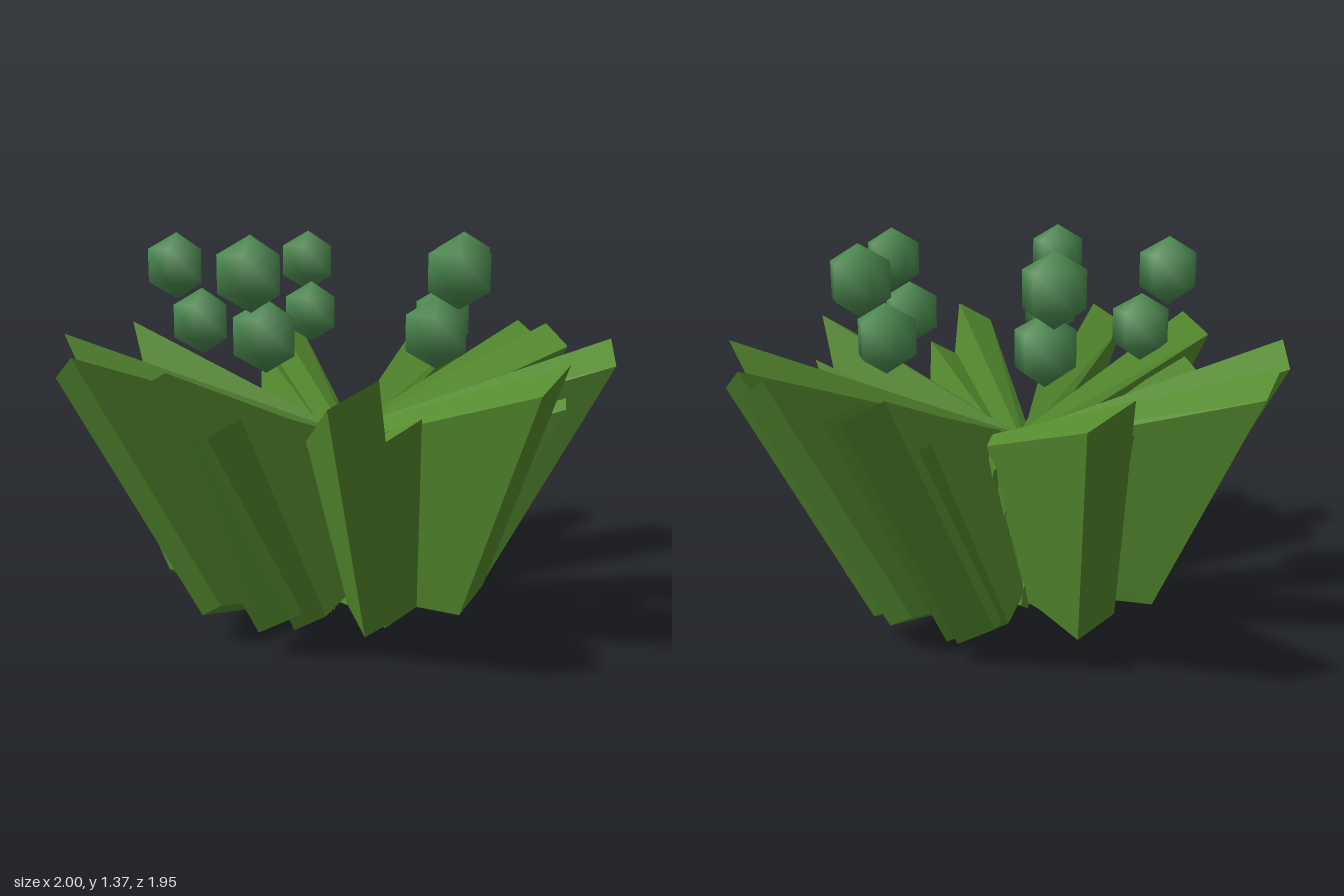
import * as THREE from 'three';
import { ConvexGeometry } from 'three/addons/geometries/ConvexGeometry.js';

const leafGreen = new THREE.MeshStandardMaterial({ color: 0x558b2f });
const budGreen = new THREE.MeshStandardMaterial({ color: 0x4c8a50 });

// Point from an angle in degrees (+x towards +z), a radius and a height
function polar(deg, r, y) {
  const a = THREE.MathUtils.degToRad(deg);
  return new THREE.Vector3(Math.cos(a) * r, y, Math.sin(a) * r);
}

// Leaning slab: thick at the rim, thin where it passes beside the axis
function leafGeometry() {
  return new ConvexGeometry([
    polar(-4.1, 0.995, 1), polar(4.1, 1, 0.92), // tip
    polar(-20, 0.605, 0.155), polar(-7.5, 0.58, 0.08), // foot
    new THREE.Vector3(-0.14, 0.6, 0.065), new THREE.Vector3(-0.14, 0.56, 0.11), // inner top
    new THREE.Vector3(-0.14, 0.025, -0.07), new THREE.Vector3(-0.14, 0, -0.03), // inner bottom
  ]);
}

// [tip angle, scale]
const outerLeaves = [
  [-6.3, 1], [3.2, 1], [36, 1], [75.6, 0.99], [114.5, 0.99],
  [150, 0.995], [175.3, 1], [217, 1], [246, 1], [286, 1], [-33.6, 1], [-29.6, 0.99],
];
const innerLeaves = [
  [185.5, 0.85], [140, 0.85], [104, 0.85], [63, 0.85], [40, 0.84],
  [-38, 0.84], [-79, 0.86], [221, 0.85], [-1, 0.82],
  [0, 0.55], [45, 0.55], [95, 0.55], [145, 0.55], [180, 0.55], [225, 0.55], [280, 0.55], [325, 0.55],
];

export function createModel() {
  const model = new THREE.Group();
  model.name = 'succulentPlant';

  const leaf = leafGeometry();
  const addLeaves = (list, name) => list.forEach(([deg, scale]) => {
    const mesh = new THREE.Mesh(leaf, leafGreen);
    mesh.name = name;
    mesh.rotation.y = -THREE.MathUtils.degToRad(deg);
    mesh.scale.setScalar(scale);
    model.add(mesh);
  });
  addLeaves(outerLeaves, 'outerLeaf');
  addLeaves(innerLeaves, 'innerLeaf');

  // Five pairs of low-poly buds, all facing the same way
  const bud = new THREE.SphereGeometry(0.12, 5, 3).rotateY(-Math.PI / 2);
  for (let i = 0; i < 5; i++) {
    const pair = new THREE.Group();
    pair.name = 'budPair';
    for (const [name, r, y] of [['lowerBud', 0.48, 1.05], ['upperBud', 0.57, 1.25]]) {
      const mesh = new THREE.Mesh(bud, budGreen);
      mesh.name = name;
      mesh.position.copy(polar(i * 72, r, y));
      pair.add(mesh);
    }
    model.add(pair);
  }
  return model;
}
